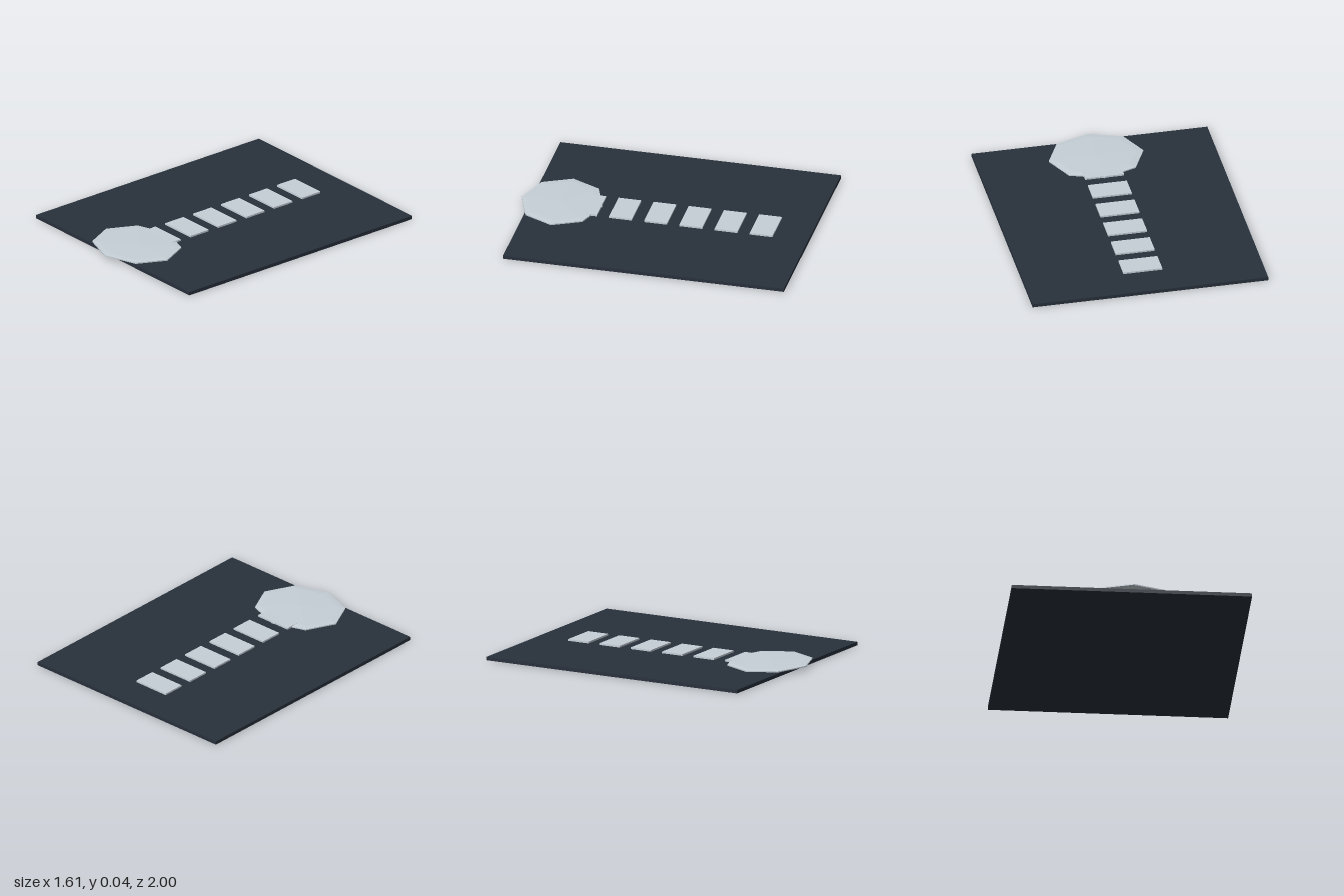
import * as THREE from 'three';

export function createModel() {
  const model = new THREE.Group();
  const dark = new THREE.MeshStandardMaterial({ color: 0x28303b, flatShading: true });
  const light = new THREE.MeshStandardMaterial({ color: 0xc6cfd7, flatShading: true });

  const add = (name, geometry, material, x, y, z) => {
    const mesh = new THREE.Mesh(geometry, material);
    mesh.name = name;
    mesh.position.set(x, y, z);
    model.add(mesh);
    return mesh;
  };

  // Thin ground plate
  add('groundPlate', new THREE.BoxGeometry(1.61, 0.024, 1.93), dark, 0, 0.012, -0.035);

  // Row of stepping slabs
  const slab = new THREE.BoxGeometry(0.266, 0.012, 0.157);
  for (let i = 0; i < 6; i++) {
    add('pathSlab' + (i + 1), slab, light, 0, 0.03, -0.68 + i * 0.2415);
  }

  // Eight-sided, slightly domed disc overhanging the front edge
  const profile = [[0, 0], [1, 0], [1, 0.008], [0.86, 0.0115], [0, 0.0155]]
    .map(([r, y]) => new THREE.Vector2(r, y));
  const disc = add('octagonalDisc', new THREE.LatheGeometry(profile, 8), light, 0, 0.024, 0.72);
  disc.scale.set(0.323, 1, 0.278);

  return model;
}
